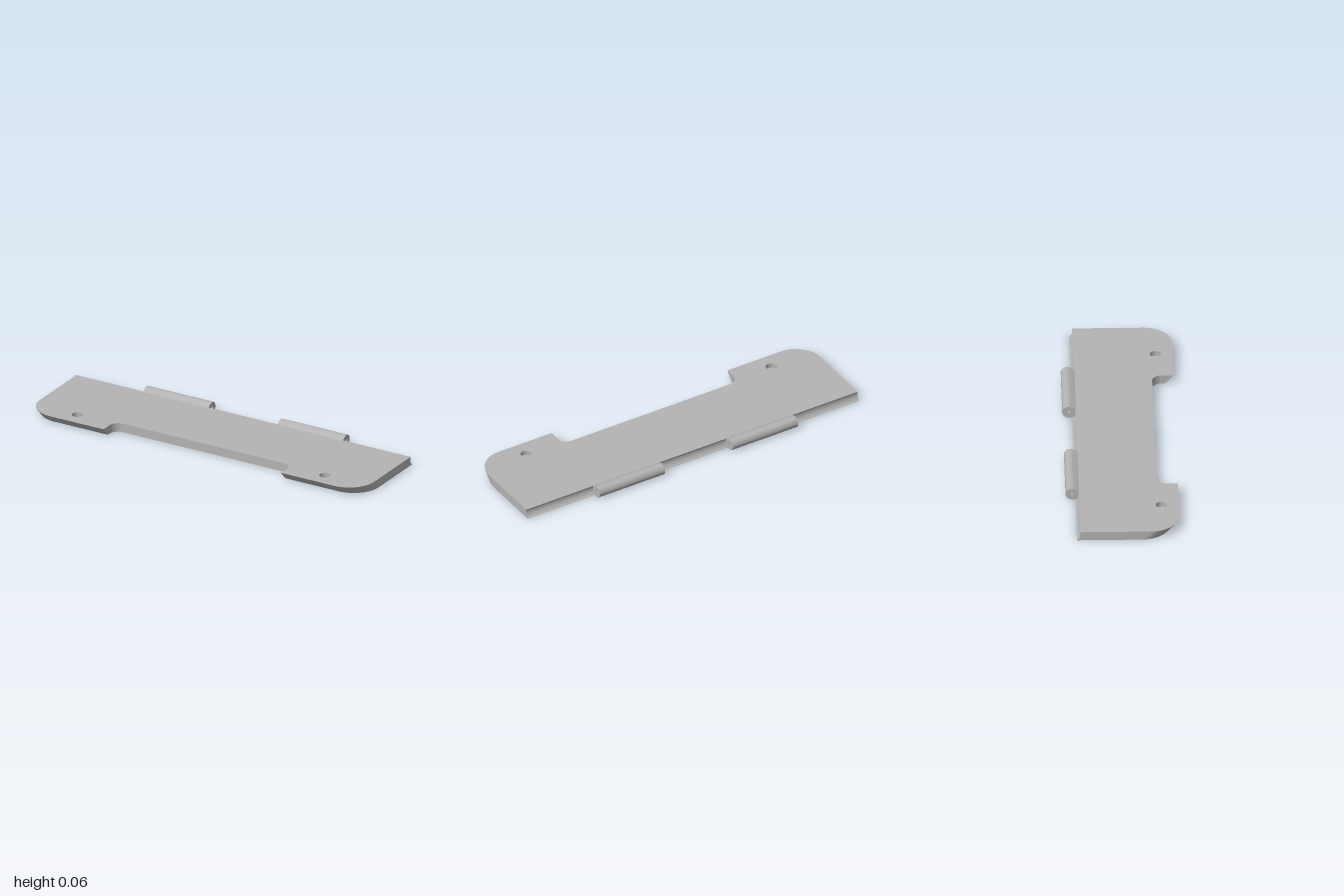
import * as THREE from 'three';
import { toCreasedNormals } from 'three/addons/utils/BufferGeometryUtils.js';

const THICK = 0.048;                          // plate thickness
const AXIS = { y: 0.033, z: -0.258 };         // hinge axis
const BACK = -0.225, FRONT = 0.29, BEVEL = 0.045;
const HOLE = { x: 0.74, z: 0.2, r: 0.029, floor: 0.022 };

const grey = new THREE.MeshStandardMaterial({ color: 0xb3b3b3 });
grey.name = 'grey';

function addMesh(parent, geometry, name) {
  const mesh = new THREE.Mesh(geometry, grey);
  mesh.name = name;
  parent.add(mesh);
  return mesh;
}

// Plate outline drawn flat (shape y = -z), then raised and reshaped at its edges
function plateGeometry() {
  const s = new THREE.Shape();
  s.moveTo(1, -BACK);
  s.lineTo(-1, -BACK);
  s.lineTo(-1, -0.14);
  s.absarc(-0.85, -0.14, 0.15, Math.PI, Math.PI * 1.5, false);
  s.lineTo(-0.53, -FRONT);
  s.lineTo(-0.53, -0.228);
  s.absarc(-0.48, -0.228, 0.05, Math.PI, Math.PI / 2, true);
  s.lineTo(0.48, -0.178);
  s.absarc(0.48, -0.228, 0.05, Math.PI / 2, 0, true);
  s.lineTo(0.53, -FRONT);
  s.lineTo(0.85, -FRONT);
  s.absarc(0.85, -0.14, 0.15, -Math.PI / 2, 0, false);
  s.closePath();
  for (const side of [-1, 1]) {
    const hole = new THREE.Path();
    hole.absarc(side * HOLE.x, -HOLE.z, HOLE.r, 0, Math.PI * 2, true);
    s.holes.push(hole);
  }

  const g = new THREE.ExtrudeGeometry(s, { depth: THICK, steps: 8, bevelEnabled: false, curveSegments: 16 });
  g.rotateX(-Math.PI / 2);
  const p = g.attributes.position;
  for (let i = 0; i < p.count; i++) {
    const x = Math.abs(p.getX(i)), y = p.getY(i), z = p.getZ(i);
    if (z < BACK + 0.001) {
      // hollow back edge, concentric with the hinge
      p.setZ(i, AXIS.z + Math.sqrt(0.038 ** 2 - (y - AXIS.y) ** 2));
    } else if (z > 0.25 || (x > 0.8 && z > 0.135)) {
      // front edge and rounded corners lean back towards the bottom
      p.setZ(i, z - BEVEL * (1 - y / THICK));
    }
  }
  return toCreasedNormals(g, 0.6);
}

// Hinge knuckle profile (shape x = -z): a tube joined to the plate by a web
function knuckleGeometry(length) {
  const r = 0.0315, cz = -AXIS.z;
  const s = new THREE.Shape();
  s.moveTo(0.215, AXIS.y - r);
  s.lineTo(cz, AXIS.y - r);
  s.absarc(cz, AXIS.y, r, -Math.PI / 2, 2.056, false);
  s.lineTo(0.215, 0.046);
  s.closePath();
  const pin = new THREE.Path();
  pin.absarc(cz, AXIS.y, 0.008, 0, Math.PI * 2, true);
  s.holes.push(pin);
  const g = new THREE.ExtrudeGeometry(s, { depth: length, bevelEnabled: false, curveSegments: 20 });
  g.rotateY(Math.PI / 2);
  return toCreasedNormals(g, 0.6);
}

export function createModel() {
  const model = new THREE.Group();
  model.name = 'hingedFlap';

  addMesh(model, plateGeometry(), 'plate');

  // Blind round recesses: floor inside, closed underside
  for (const side of [-1, 1]) {
    const floor = addMesh(model, new THREE.CircleGeometry(HOLE.r, 32), 'recessFloor');
    floor.rotation.x = -Math.PI / 2;
    floor.position.set(side * HOLE.x, HOLE.floor, HOLE.z);
    const under = addMesh(model, new THREE.CircleGeometry(HOLE.r, 32), 'recessUnderside');
    under.rotation.x = Math.PI / 2;
    under.position.set(side * HOLE.x, 0, HOLE.z);
  }

  // Two hinge knuckles along the back edge
  for (const start of [-0.6, 0.203]) {
    addMesh(model, knuckleGeometry(0.393), 'hingeKnuckle').position.x = start;
  }
  return model;
}
